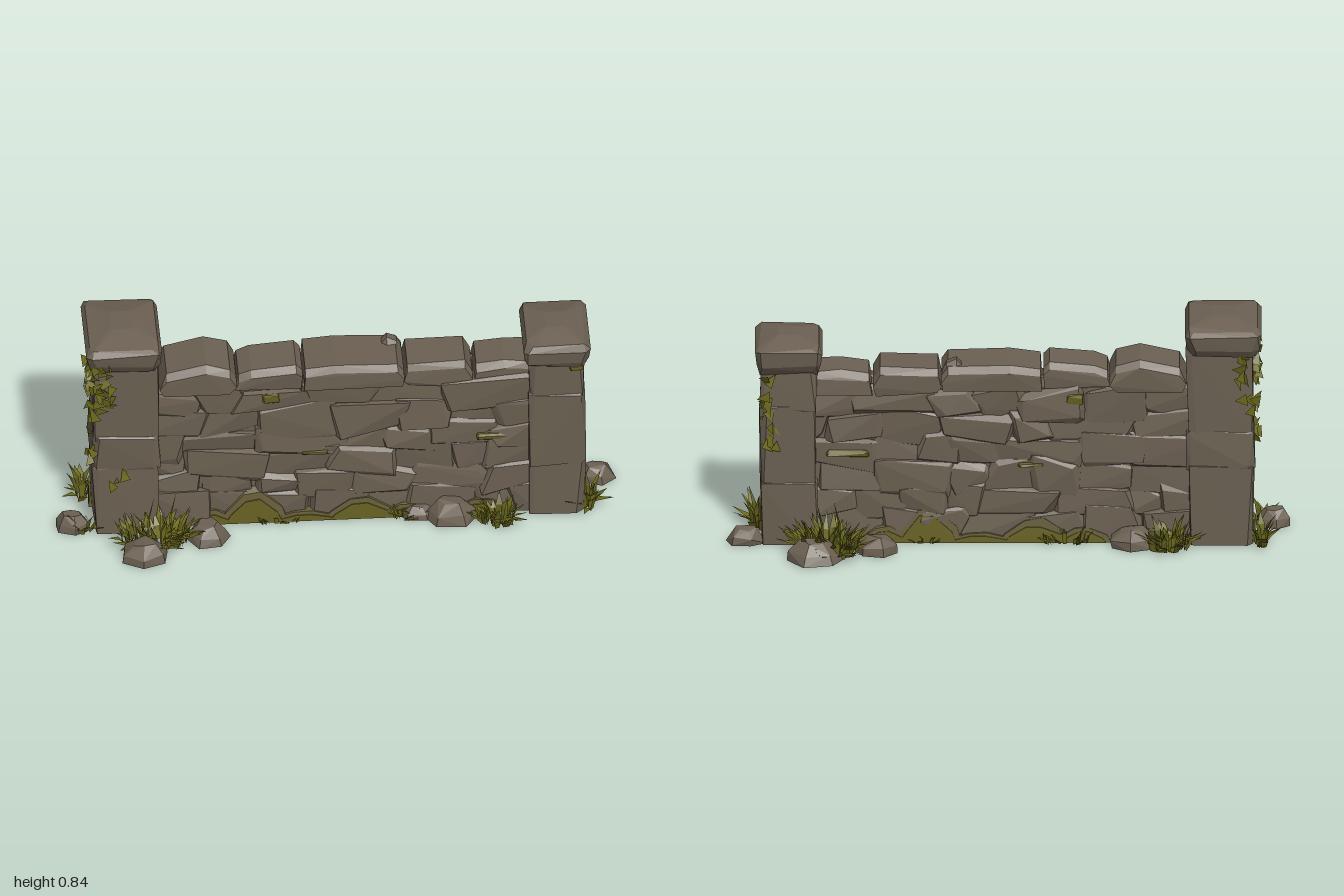
import * as THREE from 'three';
import { ConvexGeometry } from 'three/addons/geometries/ConvexGeometry.js';

const mat = (name, color, side = THREE.FrontSide) => {
  const m = new THREE.MeshStandardMaterial({ color, side, flatShading: true });
  m.name = name;
  return m;
};

export function createModel() {
  const model = new THREE.Group();
  model.name = 'ruinedStoneWall';
  const stoneMat = mat('stone', 0x6b6052);
  const mossyStoneMat = mat('mossyStone', 0x685f3b);
  const mossMat = mat('moss', 0x666022);
  const grassMat = mat('grass', 0x6e6c1e, THREE.DoubleSide);
  const darkGrassMat = mat('darkGrass', 0x5b5a1b, THREE.DoubleSide);

  // Seeded random numbers
  let seed = 41;
  const rnd = () => (seed = (seed * 16807) % 2147483647) / 2147483647;
  const range = (a, b) => a + (b - a) * rnd();
  const vec = (x, y, z) => new THREE.Vector3(x, y, z);

  const group = (name) => {
    const g = new THREE.Group();
    g.name = name;
    model.add(g);
    return g;
  };
  const add = (parent, name, geometry, material) => {
    const mesh = new THREE.Mesh(geometry, material);
    mesh.name = name;
    parent.add(mesh);
  };

  // Rough block: skewed, chipped corners wrapped in a convex hull
  function block(parent, name, [x0, x1], [y0, y1], [z0, z1], { jitter = 0.006, chip = 0.015, skew = 0, material = stoneMat } = {}) {
    const pts = [];
    for (const sx of [0, 1]) for (const sy of [0, 1]) {
      const kx = range(-skew, skew), ky = range(-skew, skew) * 0.8;
      for (const sz of [0, 1]) for (let k = 0; k < 3; k++) {
        const c = [0, 1, 2].map((i) => (i === k ? 0 : chip * range(0.2, 1.4)));
        const put = (s, lo, hi, d) => (s ? hi - d : lo + d) + range(-jitter, jitter);
        pts.push(vec(
          put(sx, x0, x1, c[0]) + kx,
          y0 === 0 && !sy ? 0 : Math.max(0, put(sy, y0, y1, c[1]) + ky),
          put(sz, z0, z1, c[2])));
      }
    }
    add(parent, name, new ConvexGeometry(pts), material);
  }

  // Faceted rock resting on the ground
  function rock(parent, x, z, rx, rz, h) {
    const pts = [], turn = range(0, 1);
    for (const [y, s] of [[0, 1], [h * 0.5, 0.9], [h, 0.5]]) {
      for (let i = 0; i < 6; i++) {
        const a = turn + (i / 6) * Math.PI * 2, r = s * range(0.85, 1.12);
        pts.push(vec(x + Math.cos(a) * rx * r, y * range(0.75, 1), z + Math.sin(a) * rz * r));
      }
    }
    add(parent, 'rock', new ConvexGeometry(pts), stoneMat);
  }

  // Wall: solid core with irregular stones on both faces
  const wall = group('wall');
  block(wall, 'wallCore', [-0.68, 0.72], [0, 0.575], [-0.07, 0.07], { jitter: 0.002, chip: 0.005 });
  const courses = [0, 0.11, 0.2, 0.29, 0.385, 0.48, 0.58];
  for (const side of [-1, 1]) {
    for (let c = 0; c < courses.length - 1; c++) {
      let x = -0.69;
      const half = 0.092 - c * 0.001;
      while (x < 0.66) {
        const end = Math.min(0.71, x + range(0.12, 0.3));
        const outer = side * (half + range(-0.012, 0.006));
        block(wall, 'wallStone', [x - 0.014, end + 0.014],
          [c && courses[c] - 0.016, courses[c + 1] + (c < 5 ? 0.016 : 0)],
          side > 0 ? [0.03, outer] : [outer, -0.03], { jitter: 0.009, chip: 0.022, skew: 0.028 });
        x = end;
      }
    }
  }

  // Coping stones: outline in x and y, then the z range
  const coping = group('coping');
  [
    [[[-0.625, 0.6], [-0.6, 0.657], [-0.46, 0.688], [-0.375, 0.665], [-0.352, 0.62], [-0.38, 0.57], [-0.61, 0.57]], -0.115, 0.105],
    [[[-0.357, 0.585], [-0.345, 0.64], [-0.3, 0.658], [-0.14, 0.672], [-0.118, 0.65], [-0.122, 0.575]], -0.09, 0.1],
    [[[-0.113, 0.575], [-0.108, 0.655], [0, 0.668], [0.22, 0.662], [0.243, 0.63], [0.238, 0.575]], -0.12, 0.11],
    [[[0.16, 0.65], [0.19, 0.685], [0.225, 0.67], [0.24, 0.64]], -0.1, -0.02],
    [[[0.243, 0.585], [0.255, 0.65], [0.46, 0.657], [0.486, 0.61], [0.475, 0.55], [0.26, 0.565]], -0.1, 0.092],
    [[[0.488, 0.555], [0.5, 0.632], [0.6, 0.645], [0.69, 0.638], [0.7, 0.555]], -0.1, 0.088],
  ].forEach(([outline, z0, z1]) => {
    const pts = [];
    for (const [x, y] of outline) {
      // Top corners step in to form a bevel
      for (const [inset, dy] of [[0, -0.024], [0.02, 0]]) {
        const drop = y > 0.6 ? dy : 0;
        pts.push(vec(x, y + drop, z0 + inset + range(0, 0.01)), vec(x, y + drop, z1 - inset - range(0, 0.01)));
      }
    }
    add(coping, 'copingStone', new ConvexGeometry(pts), stoneMat);
  });

  // Pillars of stacked blocks with an overhanging domed cap
  function pillar(name, [x0, x1], [z0, z1], levels, capX, capZ, capY) {
    const p = group(name);
    for (let i = 0; i < levels.length - 1; i++) {
      block(p, 'pillarBlock', [x0, x1], [levels[i] && levels[i] - 0.02, levels[i + 1] + 0.015],
        [z0, z1], { jitter: 0.006, chip: 0.02, skew: 0.004 });
    }
    const cx = (capX[0] + capX[1]) / 2, cz = (capZ[0] + capZ[1]) / 2;
    const hx = (capX[1] - capX[0]) / 2, hz = (capZ[1] - capZ[0]) / 2, pts = [];
    for (const [t, s, cut] of [[0, 0.86, 0.25], [0.25, 0.96, 0.25], [0.66, 1, 0.25], [0.82, 0.9, 0.3], [1, 0.3, 0.3]]) {
      for (const sx of [-1, 1]) for (const sz of [-1, 1]) for (const k of [0, 1]) {
        const y = capY[0] + (capY[1] - capY[0]) * t + (t < 1 ? range(-0.01, 0.01) : 0);
        const kx = s * (1 - k * cut * range(0.3, 1)), kz = s * (1 - (1 - k) * cut * range(0.3, 1));
        pts.push(vec(cx + sx * hx * kx, y, cz + sz * hz * kz));
      }
    }
    add(p, 'pillarCap', new ConvexGeometry(pts), stoneMat);
  }
  pillar('tallPillar', [-0.862, -0.63], [-0.132, 0.132], [0, 0.29, 0.42, 0.75],
    [-0.89, -0.62], [-0.175, 0.172], [0.725, 0.842]);
  pillar('shortPillar', [0.683, 0.885], [-0.126, 0.12], [0, 0.23, 0.52, 0.68],
    [0.665, 0.903], [-0.153, 0.143], [0.65, 0.767]);

  // Loose rocks: x, z, radius x, radius z, height
  const rocks = group('looseRocks');
  [
    [-0.935, 0.085, 0.068, 0.05, 0.065], [-0.69, 0.28, 0.09, 0.075, 0.075], [-0.46, 0.18, 0.08, 0.07, 0.07],
    [-0.43, -0.13, 0.09, 0.07, 0.07], [0.47, -0.19, 0.085, 0.075, 0.065], [0.69, -0.265, 0.1, 0.09, 0.08],
    [0.935, -0.09, 0.068, 0.055, 0.065], [0.41, 0.115, 0.1, 0.065, 0.085], [0.29, 0.09, 0.07, 0.045, 0.05],
  ].forEach((r) => rock(rocks, ...r));

  // Moss creeping up the foot of the wall, with a fainter fringe behind
  const moss = group('moss');
  function mossPatch(name, side, [a, b, h], depth, material) {
    const pts = [];
    for (const z of [0.07, depth]) {
      for (const [t, y] of [[0, 0], [1, 0], [0.08, 0.35], [0.35, 0.95], [0.6, 1], [0.92, 0.45]]) {
        pts.push(vec(side * (a + (b - a) * t), h * y * range(0.8, 1), side * (z - h * y * 0.05)));
      }
    }
    add(moss, name, new ConvexGeometry(pts), material);
  }
  for (const s of [-1, 1]) {
    [[-0.39, -0.19, 0.11], [-0.02, 0.2, 0.07], [0.18, 0.34, 0.045], [-0.22, 0, 0.03], [-0.52, -0.37, 0.045], [0.42, 0.62, 0.045]].forEach((patch) => {
      const [a, b, h] = patch;
      mossPatch('mossPatch', s, patch, 0.104, mossMat);
      mossPatch('mossFringe', s, [a - 0.02, b + 0.02, h * 1.4], 0.101, mossyStoneMat);
    });
    const face = s > 0 ? [0.06, 0.097] : [-0.097, -0.06];
    [[[0.5, 0.65], [0.322, 0.342]], [[-0.26, -0.2], [0.52, 0.555]], [[-0.12, -0.03], [0.285, 0.297]]].forEach(([x, y]) =>
      block(moss, 'mossLedge', x, y, face, { jitter: 0.003, chip: 0.008, material: mossMat }));
  }
  // Thin moss at the foot of the pillars and below the low cap
  [
    [[0.86, 0.891], [0, 0.1], [0.02, 0.1]], [[-0.869, -0.84], [0, 0.09], [-0.1, -0.03]],
    [[0.83, 0.88], [0.63, 0.655], [0.09, 0.127]],
  ].forEach(([x, y, z]) => block(moss, 'pillarMoss', x, y, z, { chip: 0.01, jitter: 0.002, material: mossMat }));

  // Grass blade: broad, tapering, bent strip written as three triangles
  function blade(out, x, y, z, angle, h, lean, w) {
    const dx = Math.cos(angle), dz = Math.sin(angle);
    const at = (t, side) => [x + dx * lean * t * t - dz * w * side, y + h * t * (1.3 - 0.3 * t), z + dz * lean * t * t + dx * w * side];
    const a = at(0, -0.4), b = at(0, 0.4), c = at(0.5, -0.55), d = at(0.5, 0.55), e = at(1, 0);
    out.push(...a, ...b, ...d, ...a, ...d, ...c, ...c, ...d, ...e);
  }
  const foliage = (parent, name, pos, material) => {
    const g = new THREE.BufferGeometry();
    g.setAttribute('position', new THREE.Float32BufferAttribute(pos, 3));
    g.computeVertexNormals();
    add(parent, name, g, material);
  };

  // Grass clumps: x, z, spread x, spread z, blade count, tallest blade
  const grass = group('grass');
  [
    [-0.65, 0.195, 0.12, 0.06, 95, 0.16], [0.57, 0.15, 0.06, 0.045, 60, 0.13],
    [0.65, -0.21, 0.11, 0.075, 120, 0.17], [-0.56, -0.165, 0.07, 0.045, 60, 0.14],
    [0.9, 0.075, 0.015, 0.04, 22, 0.15], [-0.89, -0.11, 0.02, 0.05, 22, 0.14],
    [0.25, 0.11, 0.07, 0.015, 20, 0.08], [-0.21, -0.11, 0.09, 0.015, 24, 0.08],
    [-0.22, 0.105, 0.09, 0.012, 16, 0.06], [0.3, -0.1, 0.06, 0.012, 12, 0.06],
    [-0.9, 0.11, 0.025, 0.02, 10, 0.12],
  ].forEach(([x, z, sx, sz, n, tall]) => {
    const light = [], dark = [];
    for (let i = 0; i < n; i++) {
      const a = range(0, Math.PI * 2), r = Math.sqrt(rnd());
      // Every third blade droops low and wide
      const droop = i % 3 === 0;
      blade(i % 4 ? light : dark, x + Math.cos(a) * sx * r, 0, z + Math.sin(a) * sz * r,
        a + range(-0.6, 0.6), tall * range(0.3, droop ? 0.6 : 1) * (1 - 0.25 * r),
        tall * (droop ? range(0.4, 0.6) : range(0.1, 0.4)), range(0.014, droop ? 0.036 : 0.026));
    }
    foliage(grass, 'grassClump', light, grassMat);
    foliage(grass, 'darkGrassClump', dark, darkGrassMat);
  });
  // A few tall thin stalks
  const stalks = [];
  [[-0.68, 0.24, 0.25], [-0.6, 0.21, 0.24], [0.66, -0.24, 0.21], [0.6, -0.2, 0.2]].forEach(([x, z, h]) =>
    blade(stalks, x, 0, z, z > 0 ? 0.6 : -0.6, h, 0.03, 0.014));
  foliage(grass, 'tallStalks', stalks, grassMat);

  // Ivy leaves scattered on the pillars: centre, spread, count
  const ivy = group('ivy');
  [
    [[-0.835, 0.64, 0.145], [0.035, 0.11, 0.016], 22], [[-0.872, 0.6, 0.08], [0.012, 0.14, 0.07], 18],
    [[-0.872, 0.36, 0.1], [0.012, 0.06, 0.03], 5], [[-0.84, 0.62, -0.142], [0.03, 0.1, 0.012], 12],
    [[0.86, 0.58, -0.135], [0.025, 0.08, 0.01], 9], [[0.84, 0.42, -0.135], [0.03, 0.06, 0.008], 7],
    [[-0.79, 0.24, 0.138], [0.04, 0.03, 0.006], 4],
  ].forEach(([c, s, n]) => {
    const leaves = [];
    for (let i = 0; i < n; i++) {
      const p = c.map((v, k) => v + s[k] * range(-1, 1));
      for (let k = 0; k < 3; k++) {
        const a = (k / 3) * Math.PI * 2 + range(-0.5, 0.5), r = range(0.018, 0.04);
        leaves.push(p[0] + Math.cos(a) * r * 0.8, p[1] + Math.sin(a) * r, p[2] + range(-0.02, 0.02));
      }
    }
    foliage(ivy, 'ivyLeaves', leaves, grassMat);
  });

  return model;
}
